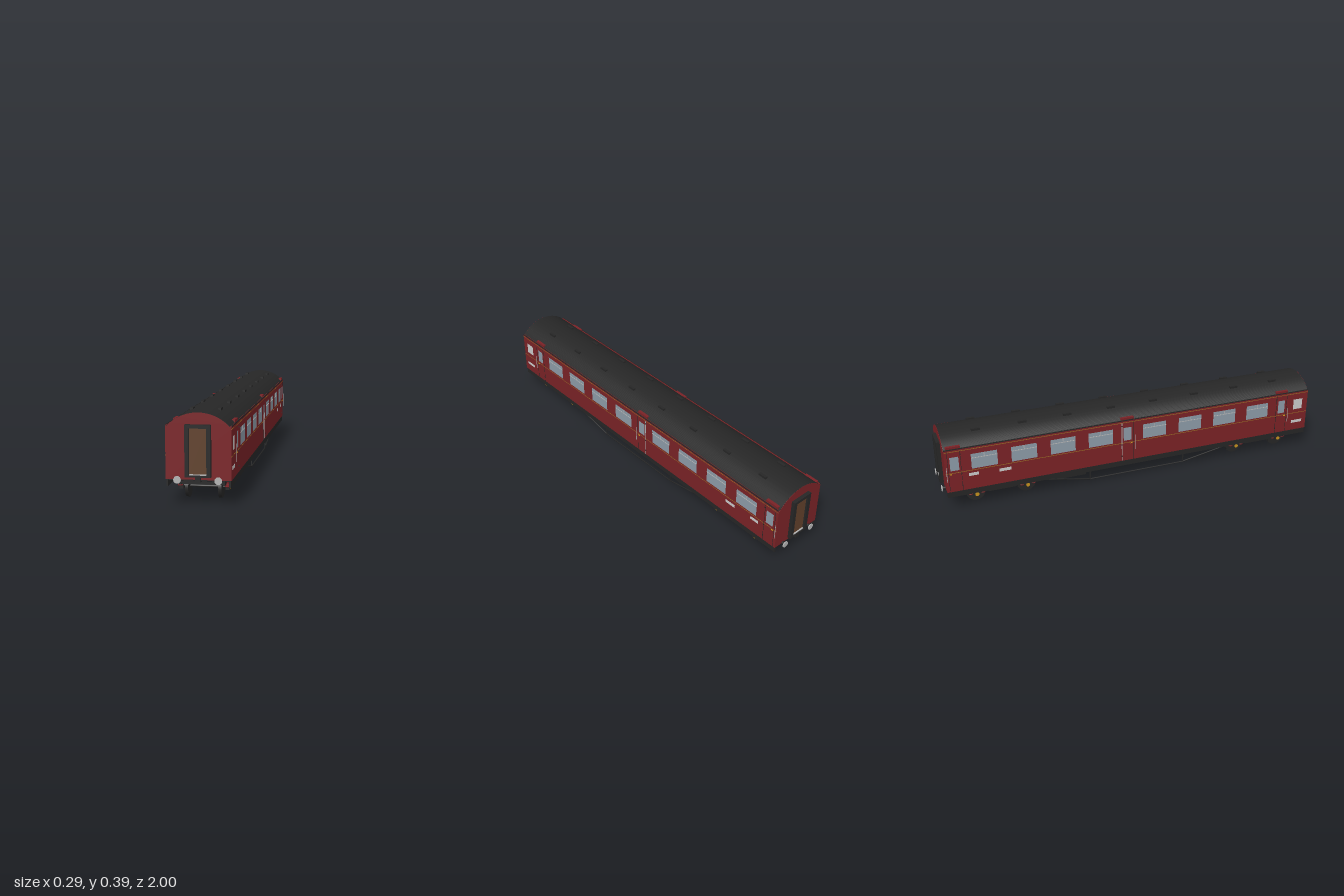
import * as THREE from 'three';
import { toCreasedNormals } from 'three/addons/utils/BufferGeometryUtils.js';

const mat = (color) => new THREE.MeshStandardMaterial({ color, side: THREE.DoubleSide });
const RED = mat(0x7a2226), BLACK = mat(0x262626), GLASS = mat(0x8d9ca8), GOLD = mat(0x9a6a24);
const BROWN = mat(0x60402a), GREY = mat(0xb4b4b4), WHITE = mat(0xcccccc), BRASS = mat(0xc8921e);
const HALF = 0.14, FLOOR = 0.107, EAVES = 0.326, END = 0.98;
const ARC_Y = 0.207, ARC_R = 0.183;

// Window openings along each side: [front z, back z, bottom y, top y]
const WIDE = [0.742, 0.548, 0.351, 0.153, -0.137, -0.333, -0.53, -0.726].map((z) => [z, z - 0.128, 0.215, 0.295]);
const NARROW = [[0.844, 0.804], [-0.036, -0.079], [-0.913, -0.956]].map(([a, b]) => [a, b, 0.22, 0.293]);
const FROSTED = [0.951, 0.897, 0.229, 0.288];

export function createModel() {
  const model = new THREE.Group();

  function add(name, geometry, material, x = 0, y = 0, z = 0, parent = model) {
    const mesh = new THREE.Mesh(geometry, material);
    mesh.name = name;
    mesh.position.set(x, y, z);
    parent.add(mesh);
    return mesh;
  }
  const box = (name, w, h, d, material, x, y, z, parent) =>
    add(name, new THREE.BoxGeometry(w, h, d), material, x, y, z, parent);
  // Cylinder lying along the x or z axis
  function disc(name, r, length, axis, material, x, y, z, parent, sides = 24) {
    const g = new THREE.CylinderGeometry(r, r, length, sides);
    if (axis === 'x') g.rotateZ(Math.PI / 2); else g.rotateX(Math.PI / 2);
    return add(name, g, material, x, y, z, parent);
  }
  // Round bar between two points
  function bar(name, a, b, r, material) {
    const path = new THREE.LineCurve3(new THREE.Vector3(...a), new THREE.Vector3(...b));
    return add(name, new THREE.TubeGeometry(path, 1, r, 6), material);
  }
  const extrude = (shape, depth) => new THREE.ExtrudeGeometry(shape, { depth, bevelEnabled: false, curveSegments: 24 });

  // Roof shell: a shallow arc with thickness
  const angle = Math.asin(HALF / ARC_R);
  const roof = new THREE.Shape();
  roof.absarc(0, ARC_Y, ARC_R, Math.PI / 2 - angle, Math.PI / 2 + angle, false);
  roof.absarc(0, ARC_Y, ARC_R - 0.006, Math.PI / 2 + angle, Math.PI / 2 - angle, true);
  add('roof', toCreasedNormals(extrude(roof, END * 2), 0.5), BLACK, 0, 0, -END);

  // Arched end walls
  const wall = new THREE.Shape();
  wall.moveTo(-HALF, FLOOR);
  wall.lineTo(HALF, FLOOR);
  wall.lineTo(HALF, EAVES);
  wall.absarc(0, ARC_Y, ARC_R - 0.0005, Math.PI / 2 - angle, Math.PI / 2 + angle, false);
  wall.closePath();

  for (const e of [1, -1]) {
    const end = new THREE.Group();
    end.name = e > 0 ? 'frontEnd' : 'backEnd';
    end.rotation.y = e > 0 ? 0 : Math.PI;
    model.add(end);
    add('endWall', extrude(wall, 0.008), RED, 0, 0, END - 0.007, end);

    // Gangway frame with an inset door
    const frame = new THREE.Shape();
    frame.moveTo(-0.055, 0.12);
    frame.lineTo(0.055, 0.12);
    frame.lineTo(0.055, 0.34);
    frame.lineTo(-0.055, 0.34);
    const opening = new THREE.Path();
    opening.moveTo(-0.037, 0.128);
    opening.lineTo(-0.037, 0.325);
    opening.lineTo(0.037, 0.325);
    opening.lineTo(0.037, 0.128);
    frame.holes.push(opening);
    add('gangwayFrame', extrude(frame, 0.019), BLACK, 0, 0, END, end);
    box('gangwayDoor', 0.074, 0.197, 0.006, BROWN, 0, 0.2265, END + 0.006, end);
    box('gangwaySill', 0.072, 0.004, 0.01, GREY, 0, 0.13, END + 0.01, end);
    box('coupler', 0.022, 0.024, 0.03, BLACK, 0, 0.109, END, end);

    // Buffers
    for (const s of [1, -1]) {
      disc('bufferShank', 0.008, 0.04, 'z', BLACK, s * 0.087, 0.108, END - 0.005, end, 16);
      disc('bufferHead', 0.016, 0.004, 'z', GREY, s * 0.087, 0.108, 0.998, end);
    }
  }

  // Side panel with window openings, drawn with z along the shape's x
  const panel = new THREE.Shape();
  panel.moveTo(-END, FLOOR);
  panel.lineTo(END, FLOOR);
  panel.lineTo(END, 0.334);
  panel.lineTo(-END, 0.334);
  const panes = [...WIDE, ...NARROW, FROSTED];
  for (const [front, back, low, high] of panes) {
    const hole = new THREE.Path();
    hole.moveTo(front, low);
    hole.lineTo(back, low);
    hole.lineTo(back, high);
    hole.lineTo(front, high);
    panel.holes.push(hole);
  }
  const panelGeometry = extrude(panel, 0.006);

  for (const s of [1, -1]) {
    const side = s > 0 ? 'left' : 'right';
    const group = new THREE.Group();
    group.name = side + 'Side';
    model.add(group);
    const out = s * HALF;
    const wallMesh = add('sidePanel', panelGeometry, RED, s > 0 ? HALF - 0.006 : -HALF, 0, 0, group);
    // shape x becomes -z after the turn, so mirror z to restore it
    wallMesh.rotation.y = Math.PI / 2;
    wallMesh.scale.x = -1;

    for (const p of panes) {
      const [a, b, low, high] = p;
      box('windowPane', 0.002, high - low, a - b, p === FROSTED ? WHITE : GLASS,
        s * (HALF - 0.002), (low + high) / 2, (a + b) / 2, group);
    }
    for (const [a, b] of WIDE) {
      box('ventRail', 0.003, 0.003, a - b, GREY, s * (HALF - 0.001), 0.272, (a + b) / 2, group);
      box('ventDivider', 0.002, 0.023, 0.003, GREY, s * (HALF - 0.001), 0.283, (a + b) / 2, group);
    }

    // Lining and gutter
    box('waistLine', 0.001, 0.003, END * 2, GOLD, out, 0.208, 0, group);
    box('upperLine', 0.001, 0.003, END * 2, GOLD, out, 0.322, 0, group);
    box('gutter', 0.003, 0.005, END * 2, BLACK, out, 0.334, 0, group);

    // Doors: seams, handles, hinges and the hood over each
    for (const [z, dir] of [[0.824, 1], [-0.058, 1], [-0.935, -1]]) {
      for (const k of [-1, 1])
        box('doorSeam', 0.001, 0.215, 0.002, BLACK, out, 0.215, z + k * 0.031, group);
      bar('grabRail', [out + s * 0.003, 0.165, z + dir * 0.04], [out + s * 0.003, 0.245, z + dir * 0.04], 0.0015, GREY);
      box('doorHandle', 0.004, 0.004, 0.01, BRASS, out + s * 0.001, 0.203, z + dir * 0.02, group);
      for (const y of [0.135, 0.2, 0.305])
        box('hinge', 0.004, 0.006, 0.004, BLACK, out + s * 0.001, y, z - dir * 0.031, group);
      box('doorHood', 0.018, 0.014, 0.07, RED, s * 0.126, 0.338, z, group);
    }
    box('downPipe', 0.003, 0.21, 0.004, GREY, out, 0.215, -0.088, group);
    // Blank plates
    for (const [z, y, w] of [[0.924, 0.157, 0.064], [-0.692, 0.181, 0.06], [-0.846, 0.186, 0.048]])
      box('sidePlate', 0.001, 0.016, w, WHITE, out, y, z, group);

    box('solebar', 0.008, 0.032, END * 2, BLACK, s * 0.133, 0.093, 0, group);

    // Truss rod beneath the frame
    const rod = [[0.08, 0.55], [0.025, 0.26], [0.025, -0.255], [0.08, -0.545]];
    for (let i = 0; i < 3; i++)
      bar('trussRod', [s * 0.12, ...rod[i]], [s * 0.12, ...rod[i + 1]], 0.0035, BLACK);
    for (const z of [0.26, -0.255])
      box('trussPost', 0.005, 0.08, 0.006, BLACK, s * 0.12, 0.062, z, group);

    // Roof ventilators
    for (let i = 0; i < 8; i++)
      box('roofVent', 0.013, 0.012, 0.042, BLACK, s * 0.061, 0.382, -0.808 + i * 0.2295, group);
  }

  // Floor and underfloor equipment
  box('floor', 0.264, 0.006, END * 2 - 0.002, BLACK, 0, 0.106, 0);
  box('batteryBoxLeft', 0.07, 0.055, 0.15, BLACK, 0.075, 0.078, 0.375);
  box('batteryBoxRight', 0.07, 0.055, 0.15, BLACK, -0.075, 0.078, -0.35);
  box('equipmentCase', 0.1, 0.06, 0.155, BLACK, 0.05, 0.075, 0.105);
  box('smallCase', 0.07, 0.05, 0.1, BLACK, -0.06, 0.08, -0.1);

  // Bogies
  for (const centre of [0.708, -0.706]) {
    const bogie = new THREE.Group();
    bogie.name = 'bogie';
    bogie.position.z = centre;
    model.add(bogie);
    box('bolster', 0.19, 0.028, 0.06, BLACK, 0, 0.074, 0, bogie);
    box('pivot', 0.06, 0.03, 0.06, BLACK, 0, 0.093, 0, bogie);
    for (const z of [-0.2, 0.2]) box('crossBeam', 0.2, 0.012, 0.012, BLACK, 0, 0.079, z, bogie);
    for (const z of [-0.128, 0.128]) {
      disc('axle', 0.006, 0.2, 'x', BLACK, 0, 0.05, z, bogie, 12);
      for (const s of [1, -1]) {
        disc('wheel', 0.046, 0.012, 'x', BLACK, s * 0.073, 0.048, z, bogie, 32);
        disc('wheelFlange', 0.048, 0.003, 'x', BLACK, s * 0.0665, 0.048, z, bogie, 32);
        box('axleBox', 0.018, 0.03, 0.032, BLACK, s * 0.101, 0.053, z, bogie);
        disc('axleCap', 0.01, 0.004, 'x', BRASS, s * 0.111, 0.053, z, bogie, 16);
        // Coil springs on each side of the axle box
        for (const dz of [-0.03, 0.03])
          for (let i = 0; i < 4; i++) {
            const coil = new THREE.TorusGeometry(0.009, 0.0025, 6, 14).rotateX(Math.PI / 2);
            add('springCoil', coil, RED, s * 0.103, 0.058 + i * 0.007, z + dz, bogie);
          }
      }
    }
    for (const s of [1, -1]) {
      box('bogieFrame', 0.01, 0.018, 0.4, BLACK, s * 0.095, 0.078, 0, bogie);
      box('springPlank', 0.012, 0.012, 0.14, BLACK, s * 0.1, 0.06, 0, bogie);
      for (const z of [-0.05, 0.05]) box('stepPlate', 0.004, 0.006, 0.04, GREY, s * 0.112, 0.078, z, bogie);
    }
  }
  return model;
}
